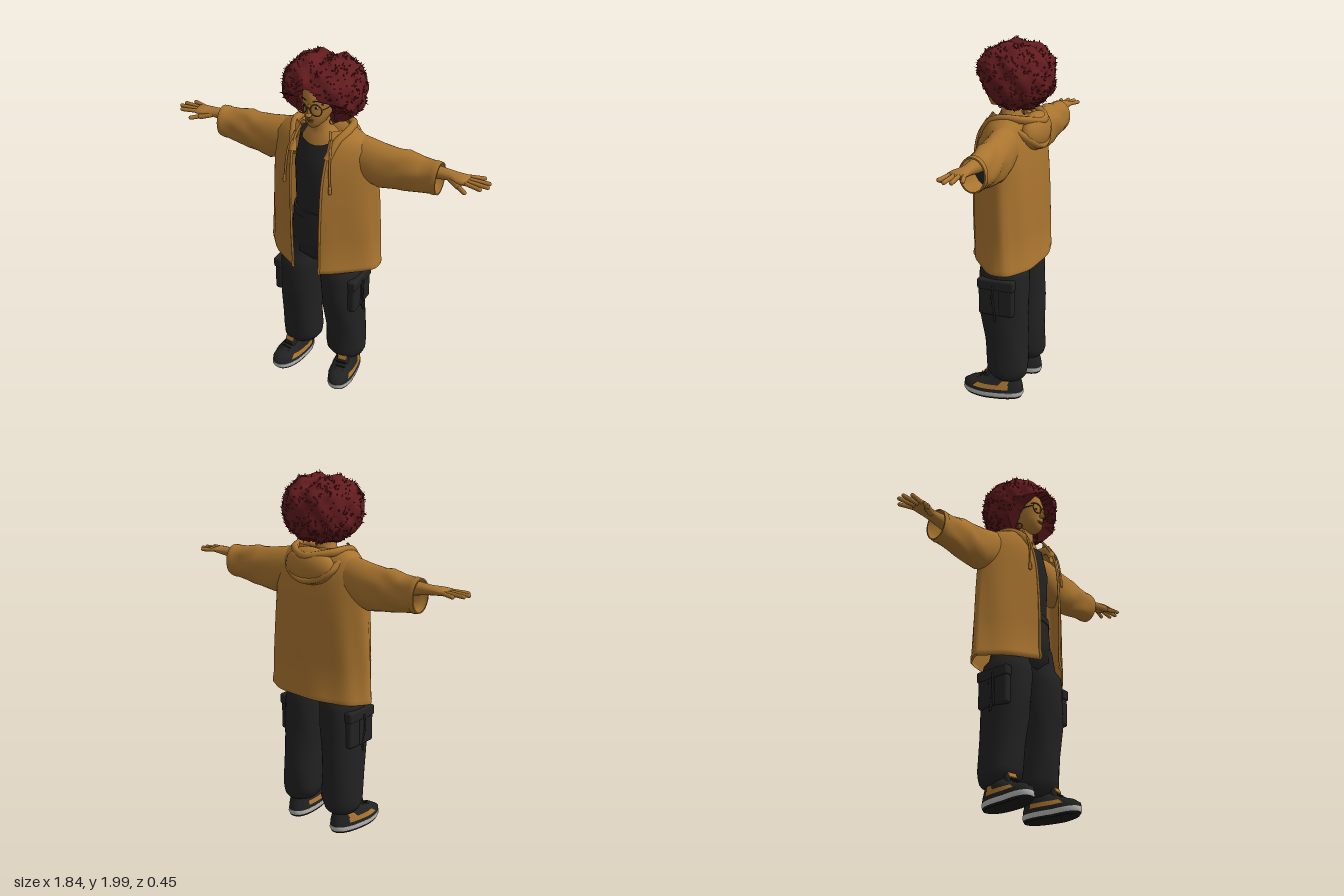
import * as THREE from 'three';
import { mergeGeometries, mergeVertices, toCreasedNormals } from 'three/addons/utils/BufferGeometryUtils.js';
import { RoundedBoxGeometry } from 'three/addons/geometries/RoundedBoxGeometry.js';

const V = (x, y, z) => new THREE.Vector3(x, y, z);
const spow = (v, e) => Math.sign(v) * Math.pow(Math.abs(v), e);

// Point on a superellipse ring [y, cx, cz, rx, rz, exponent, frontGap, backDepth, backExponent]
function ringPoint([y, cx, cz, rx, rz, e = 1, , rzb = rz, eb = e], t) {
  const c = Math.cos(t), k = c < 0 ? eb : e;
  return V(cx + rx * spow(Math.sin(t), k), y, cz + (c < 0 ? rzb : rz) * spow(c, k));
}
const gapAngle = r => (r[6] ? Math.asin(Math.pow(r[6] / r[3], 1 / r[5])) : 0);

// Skin through stacked rings; arc limits the angle (0 = front), rule moves points
function loft(rings, { seg = 36, arc = [0, Math.PI * 2], rule, crease = 1 } = {}) {
  const pos = [], idx = [];
  rings.forEach((r, i) => {
    const g = gapAngle(r);
    for (let j = 0; j <= seg; j++) {
      const t = arc[0] + g + (arc[1] - arc[0] - 2 * g) * j / seg;
      const p = ringPoint(r, t);
      if (rule) rule(p, t, i);
      pos.push(p.x, p.y, p.z);
      if (i && j) {
        const d = i * (seg + 1) + j, c = d - 1, b = d - seg - 1, a = b - 1;
        idx.push(a, b, c, b, d, c);
      }
    }
  });
  const geo = new THREE.BufferGeometry();
  geo.setAttribute('position', new THREE.Float32BufferAttribute(pos, 3));
  geo.setIndex(idx);
  return toCreasedNormals(mergeVertices(geo), crease);
}

// Loft laid along +x: ring = [x, yCentre, zCentre, yRadius, zRadius]
const loftX = (rings, opt) =>
  loft(rings.map(([x, y, z, ry, rz]) => [x, -y, z, ry, rz]), opt).rotateZ(-Math.PI / 2);

const tube = (pts, r, n = 24) =>
  new THREE.TubeGeometry(new THREE.CatmullRomCurve3(pts.map(p => V(...p))), n, r, 8);

const blob = (x, y, z, rx, ry, rz) => new THREE.SphereGeometry(1, 20, 14).scale(rx, ry, rz).translate(x, y, z);

function capsule(a, b, r) {
  const d = V(...b).sub(V(...a)), g = new THREE.CapsuleGeometry(r, d.length(), 4, 10);
  g.applyQuaternion(new THREE.Quaternion().setFromUnitVectors(V(0, 1, 0), d.clone().normalize()));
  const m = V(...a).addScaledVector(d, 0.5);
  return g.translate(m.x, m.y, m.z);
}

// Mirror across x = 0, keeping faces outward
function mirrored(geo) {
  const g = geo.clone().scale(-1, 1, 1);
  const n = g.index ? g.index.count : g.attributes.position.count;
  const at = k => (g.index ? g.index.getX(k) : k), out = [];
  for (let k = 0; k < n; k += 3) out.push(at(k), at(k + 2), at(k + 1));
  g.setIndex(out);
  return g;
}

export function createModel() {
  const model = new THREE.Group();
  const mat = (name, color, side = THREE.FrontSide) => {
    const m = new THREE.MeshStandardMaterial({ color, side });
    m.name = name;
    return m;
  };
  const skin = mat('skin', 0xa87431), cloth = mat('mustard cloth', 0xa9742f, THREE.DoubleSide);
  const hairRed = mat('dark red hair', 0x621b1e), black = mat('black fabric', 0x222222, THREE.DoubleSide);
  const white = mat('sole white', 0xb9b9b7), lip = mat('lip brown', 0x80502a);
  const dark = mat('dark trim', 0x1a1918), gold = mat('gold wire', 0x6e4c1e);
  const add = (name, geo, m) => {
    const mesh = new THREE.Mesh(geo, m);
    mesh.name = name;
    model.add(mesh);
  };
  const pair = (name, geo, m) => {
    add(name + 'Left', geo, m);
    add(name + 'Right', mirrored(geo), m);
  };

  // Head and face
  add('head', loft([[1.628, 0, .085, 0, 0], [1.635, 0, .09, .025, .035], [1.66, 0, .07, .052, .068],
    [1.70, 0, .045, .07, .095], [1.75, 0, .035, .079, .108], [1.80, 0, .03, .082, .112],
    [1.85, 0, .02, .077, .105], [1.9, 0, 0, .05, .08], [1.92, 0, 0, 0, 0]], { crease: 1.4 }), skin);
  add('neck', loft([[1.45, 0, .008, .118, .098], [1.53, 0, .006, .112, .083], [1.57, 0, .008, .088, .066],
    [1.595, 0, .01, .058, .054], [1.69, 0, .015, .05, .052]]), skin);
  add('noseTip', blob(0, 1.715, .151, .016, .012, .017), skin);
  add('noseBridge', capsule([0, 1.72, .15], [0, 1.765, .138], .009), skin);
  add('upperLip', blob(0, 1.683, .136, .021, .005, .008), lip);
  add('lowerLip', blob(0, 1.674, .134, .018, .006, .009), lip);
  pair('eye', blob(.035, 1.755, .131, .014, .006, .006), white);
  pair('iris', blob(.035, 1.755, .136, .006, .006, .003), dark);
  pair('eyebrow', tube([[.018, 1.787, .14], [.038, 1.794, .135], [.06, 1.787, .118]], .0025), dark);
  pair('lensRim', new THREE.TorusGeometry(.031, .003, 8, 28).rotateY(.15).translate(.042, 1.75, .15), gold);
  add('glassesBridge', tube([[-.012, 1.755, .155], [0, 1.76, .158], [.012, 1.755, .155]], .003), gold);
  pair('templeArm', tube([[.073, 1.757, .145], [.085, 1.757, .1], [.084, 1.755, .02]], .003), gold);
  pair('ear', blob(.078, 1.715, .02, .012, .03, .018), skin);
  pair('earring', new THREE.TorusGeometry(.018, .003, 8, 20).rotateY(1).translate(.08, 1.655, .045), gold);

  // Hair: parted round mass, trimmed below the fringe and hollowed around the face
  const inFace = (p, k = 1) => p.z > 0 && (p.x / (.086 * k)) ** 2 + ((p.y - 1.72) / (.14 * k)) ** 2 < 1;
  const hairPoint = d => {
    const p = V(spow(d.x, .88) * .212, 1.802 + spow(d.y, d.y < 0 ? .78 : .88) * .178, -.015 + spow(d.z, .9) * .2);
    const n = .011 * Math.sin(45 * p.x + 2) * Math.sin(41 * p.y) * Math.sin(47 * p.z + 1);
    p.addScaledVector(d, n);
    if (d.y > 0) p.y -= .03 * Math.exp(-((p.x / .035) ** 2)) * d.y;
    p.z = Math.min(p.z, .015 + (p.y - 1.64) * .6 + Math.max(0, p.y - 1.77) * 1.3);
    return p;
  };
  const mass = new THREE.IcosahedronGeometry(1, 26);
  mass.deleteAttribute('uv');
  mass.deleteAttribute('normal');
  const hp = mass.attributes.position;
  for (let i = 0; i < hp.count; i++) {
    const p = hairPoint(V().fromBufferAttribute(hp, i).normalize());
    if (inFace(p)) p.z = Math.min(p.z, .02);
    hp.setXYZ(i, p.x, p.y, p.z);
  }
  add('hair', toCreasedNormals(mergeVertices(mass), 1), hairRed);

  // Small swept curls scattered over the hair
  let seed = 7;
  const rnd = () => (seed = (seed * 16807) % 2147483647) / 2147483647;
  const tufts = [];
  for (let i = 0; i < 800; i++) {
    const y = 1 - 2 * rnd(), s = Math.sqrt(1 - y * y), a = rnd() * Math.PI * 2;
    const d = V(s * Math.cos(a), y, s * Math.sin(a)), p = hairPoint(d);
    const lean = d.clone().add(V(rnd() - .5, rnd() - .2, rnd() - .5).multiplyScalar(1.7)).normalize();
    const len = .018 + .018 * rnd();
    if (inFace(p, 1.15) || (p.z > 0 && p.y < 1.72)) continue;
    const cone = new THREE.ConeGeometry(.008, len, 4, 1, true);
    cone.applyQuaternion(new THREE.Quaternion().setFromUnitVectors(V(0, 1, 0), lean));
    tufts.push(cone.translate(p.x, p.y, p.z));
  }
  add('hairTufts', mergeGeometries(tufts), hairRed);

  // Tank top with a scooped neckline
  add('tankTop', loft([[1.05, 0, 0, .15, .115, .9], [1.2, 0, 0, .15, .118, .9], [1.38, 0, .005, .15, .128, .95],
    [1.46, 0, .005, .135, .112, .95], [1.52, 0, .005, .118, .095, .95]],
  { rule: (p, t, i) => { if (i === 4) p.y += 3.5 * p.x * p.x; } }), black);

  // Coat body: [y, half width, z of front edge, back depth, half gap, front and back roundness]
  const coat = [[.785, .325, .19, .15, .08, 1.5, .9], [.79, .335, .198, .158, .08, 1.5, .9], [.815, .336, .198, .158, .08, 1.5, .9],
    [.825, .332, .194, .154, .08, 1.5, .9], [1.0, .327, .195, .15, .083, 1.5, .9], [1.2, .317, .192, .144, .087, 1.5, .9],
    [1.35, .308, .183, .136, .092, 1.5, .9], [1.45, .305, .163, .124, .098, 1.45, .95], [1.52, .29, .135, .11, .1, 1.35, 1],
    [1.57, .23, .106, .09, .098, 1.1, 1], [1.61, .15, .08, .08, .085, 1, 1]].map(([y, rx, ze, back, gap, e, eb]) => {
    const t = gapAngle([0, 0, 0, rx, 0, e, gap]);
    return [y, 0, -.02, rx, (ze + .02) / Math.pow(Math.cos(t), e), e, gap, back, eb];
  });
  // Soft vertical folds
  const fold = (p, t) => {
    const k = 1 + .014 * Math.sin(9 * t + 4 * p.y) * Math.max(0, Math.min(1, (1.5 - p.y) * 3));
    p.x *= k;
    p.z *= k;
  };
  add('coatBody', loft(coat, { seg: 90, rule: fold }), cloth);
  const edge = coat.map(r => {
    const t = gapAngle(r), p = ringPoint(r, t);
    fold(p, t);
    return [p.x, p.y, p.z];
  });
  pair('coatFrontEdge', tube(edge, .007, 50), cloth);

  // Sleeves with turned cuffs; the inside darkens towards the elbow
  pair('sleeve', loftX([[.14, 1.48, -.02, .09, .07], [.22, 1.455, -.025, .118, .086], [.33, 1.428, -.028, .126, .083],
    [.42, 1.43, -.032, .114, .078], [.47, 1.435, -.034, .112, .078], [.55, 1.433, -.036, .098, .072],
    [.615, 1.435, -.037, .091, .068], [.62, 1.435, -.037, .094, .072], [.65, 1.436, -.037, .09, .07],
    [.65, 1.436, -.037, .082, .063]], { rule: (p, t, i) => { if (i > 2 && i < 6) p.z += .005 * Math.sin(5 * t + i * 2); } }), cloth);
  pair('sleeveInside', loftX([[.45, 1.433, -.034, 0, 0], [.45, 1.433, -.034, .108, .074]]), black);

  // Folded hood and drawstrings
  const mirrorPath = half => [...half, ...half.slice(0, -1).reverse().map(([x, y, z]) => [-x, y, z])];
  add('hoodRim', tube(mirrorPath([[.1, 1.48, .145], [.125, 1.56, .09], [.152, 1.598, .01], [.125, 1.592, -.1], [0, 1.57, -.168]]), .022, 60), cloth);
  add('hoodDrape', tube(mirrorPath([[.175, 1.565, -.045], [.145, 1.5, -.13], [.08, 1.458, -.16], [0, 1.44, -.17]]), .021, 40), cloth);
  add('hoodBag', blob(0, 1.51, -.125, .16, .102, .072), cloth);
  pair('drawstring', tube([[.105, 1.58, .105], [.122, 1.5, .15], [.128, 1.42, .168], [.135, 1.33, .172]], .006), cloth);
  pair('drawstringEnd', capsule([.135, 1.34, .174], [.136, 1.31, .176], .009), cloth);

  // Forearms and hands
  pair('forearm', loftX([[.44, 1.46, -.033, .045, .042], [.6, 1.47, -.034, .039, .038], [.67, 1.474, -.035, .03, .032],
    [.71, 1.475, -.033, .025, .034], [.76, 1.476, -.022, .022, .047], [.8, 1.478, -.022, .017, .05], [.818, 1.478, -.022, 0, 0]]), skin);
  [[[.79, -.06], [.866, -.085]], [[.8, -.037], [.904, -.047]], [[.8, -.013], [.909, -.01]], [[.795, .01], [.882, .027]]]
    .forEach(([a, b], i) => pair('finger' + (i + 1), capsule([a[0], 1.478, a[1]], [b[0], 1.475, b[1]], .011), skin));
  pair('thumbBase', capsule([.715, 1.468, -.012], [.765, 1.458, .018], .018), skin);
  pair('thumb', capsule([.75, 1.46, .01], [.812, 1.449, .048], .012), skin);

  // Trousers
  add('hips', loft([[.79, 0, .005, .1, .08], [.84, 0, .003, .19, .125], [.95, 0, .003, .185, .125],
    [1.07, 0, .002, .165, .12, .9], [1.07, 0, .002, .168, .125, .9], [1.11, 0, .002, .162, .122, .9], [1.11, 0, .002, .14, .1]]), black);
  pair('trouserLeg', loft([[.12, .15, -.035, 0, 0], [.12, .15, -.035, .08, .08], [.135, .15, -.03, .095, .098],
    [.165, .146, -.022, .112, .112], [.2, .143, -.02, .112, .115, .9], [.35, .143, -.014, .108, .12, .9], [.5, .136, 0, .112, .134, .9],
    [.6, .13, .003, .116, .137, .9], [.72, .125, .005, .117, .139, .9], [.775, .122, .003, .116, .135, .95],
    [.81, .11, .003, .1, .115], [.92, .095, .003, .085, .11]],
  { rule: (p, t, i) => { if (i > 2 && i < 8) p.z += .004 * Math.sin(4 * t + i * 2); } }), black);
  pair('cargoPocket', new RoundedBoxGeometry(.045, .19, .2, 3, .015).translate(.232, .615, .01), black);
  pair('pocketFlap', new RoundedBoxGeometry(.05, .06, .21, 3, .012).translate(.235, .7, .01), black);
  pair('pocketPleat', new RoundedBoxGeometry(.05, .15, .045, 2, .008).translate(.234, .6, .01), black);
  pair('hangingStrap', tube([[.26, .7, .02], [.264, .62, .025], [.256, .55, .015], [.264, .49, .01]], .006), black);

  // Shoes: toes turned slightly outward
  const place = g => g.rotateY(.13).translate(.165, 0, 0);
  const upper = [[.03, 0, .055, .072, .17, .85], [.06, 0, .055, .072, .168, .85], [.085, 0, .04, .066, .148, .88],
    [.11, 0, .01, .057, .112, .9], [.15, 0, -.02, .05, .08, 1], [.18, 0, -.03, .046, .06, 1]];
  const grow = (rings, d) => rings.map(([y, cx, cz, rx, rz, e]) => [y, cx, cz, rx + d, rz + d, e]);
  const toeLift = p => { if (p.z > .1) p.y += (p.z - .1) * .1; };
  const shoe = (name, rings, m, opt) => pair(name, place(loft(rings, { rule: toeLift, ...opt })), m);
  shoe('shoeUpper', upper, black);
  shoe('midsole', [[.01, 0, .055, .07, .166, .82], [.022, 0, .055, .074, .172, .82], [.038, 0, .055, .073, .171, .82],
    [.038, 0, .055, .06, .15, .82]], white);
  shoe('outsole', [[0, 0, .053, 0, 0, .82], [0, 0, .053, .067, .16, .82], [.012, 0, .055, .071, .168, .82]], dark);
  const panel = grow(upper.slice(1, 3), .003);
  shoe('outerPanel', panel, cloth, { arc: [.95, 2.1], seg: 12 });
  shoe('outerPanelTop', grow(upper.slice(2, 4), .003), cloth, { arc: [1.7, 2.05], seg: 5 });
  shoe('innerPanel', panel, cloth, { arc: [4.2, 5.3], seg: 12 });
  pair('tongue', place(new RoundedBoxGeometry(.07, .09, .03, 3, .012).rotateX(-.4).translate(0, .125, .082)), black);
  pair('tonguePatch', place(new RoundedBoxGeometry(.055, .028, .009, 2, .004).rotateX(-.4).translate(0, .153, .09)), cloth);
  for (let i = 0; i < 3; i++) {
    const y = .1 + i * .013, z = .142 - i * .017;
    pair('lace' + (i + 1), place(capsule([-.024, y, z], [.024, y, z], .005)), dark);
  }
  return model;
}
